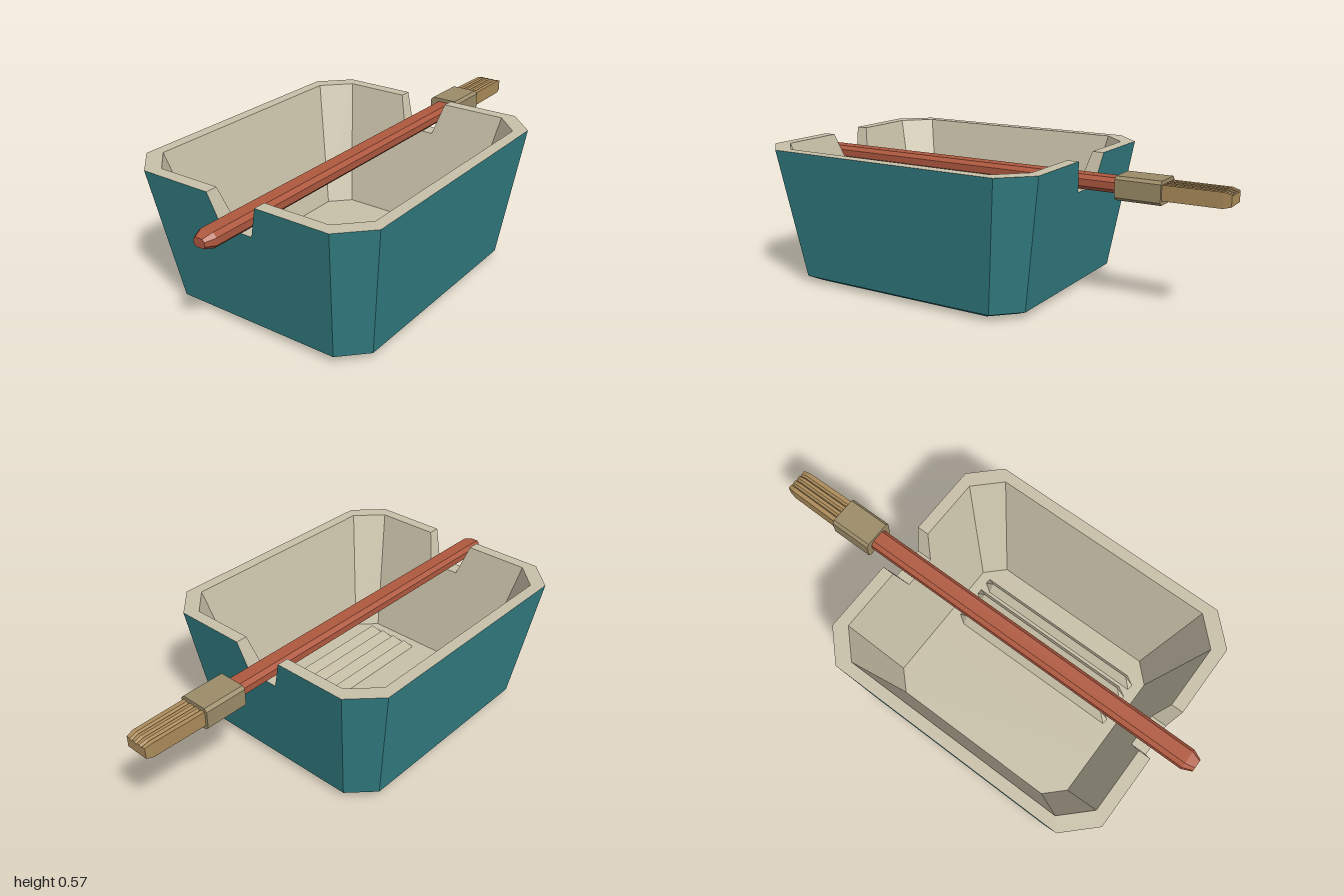
import * as THREE from 'three';

const V = (x, y, z) => new THREE.Vector3(x, y, z);
const mat = (color) => new THREE.MeshStandardMaterial({ color, flatShading: true });

// Skin a list of equal-length rings; flatten(p) gives the 2D point used to fill an end.
function loft(rings, flatten, capStart, capEnd) {
  const tris = [];
  for (let k = 0; k < rings.length - 1; k++) {
    const a = rings[k], b = rings[k + 1], n = a.length;
    for (let i = 0; i < n; i++) {
      const j = (i + 1) % n;
      tris.push(a[i], a[j], b[j], a[i], b[j], b[i]);
    }
  }
  const cap = (ring, flip) => {
    for (const [i, j, k] of THREE.ShapeUtils.triangulateShape(ring.map(flatten), [])) {
      tris.push(ring[i], ring[flip ? k : j], ring[flip ? j : k]);
    }
  };
  if (capStart) cap(rings[0], true);
  if (capEnd) cap(rings[rings.length - 1], false);
  const g = new THREE.BufferGeometry().setFromPoints(tris);
  g.computeVertexNormals();
  return g;
}
const fromAbove = (p) => new THREE.Vector2(p.x, -p.z);
const fromSide = (p) => new THREE.Vector2(-p.z, p.y);

// Chamfered rectangle ring of the tub, with extra points for the side notches.
const TUB_X = -0.21;
function tubRing(hx, hz, c, y, notchY = y, notchHx = hx) {
  const half = [
    [hx - c, y, hz], [hx, y, hz - c],
    [hx, y, 0.11], [notchHx, notchY, 0.07], [notchHx, notchY, -0.07], [hx, y, -0.11],
    [hx, y, c - hz], [hx - c, y, -hz],
  ];
  return [
    ...half.map(([x, h, z]) => V(TUB_X + x, h, z)),
    ...half.map(([x, h, z]) => V(TUB_X - x, h, -z)),
  ];
}

// Solid along x: profile in (u = -z, v = y), stations as [x, scaleU, scaleV].
function bar(profile, cy, stations) {
  const rings = stations.map(([x, su, sv]) =>
    profile.map(([u, v]) => V(x, cy + v * sv, -u * su)));
  return loft(rings, fromSide, true, true);
}
const chamferBox = (w, h, c) => [
  [w, c - h], [w, h - c], [w - c, h], [c - w, h],
  [-w, h - c], [-w, c - h], [c - w, -h], [w - c, -h],
];

export function createModel() {
  const model = new THREE.Group();
  const add = (name, geometry, material, parent = model) => {
    const mesh = new THREE.Mesh(geometry, material);
    mesh.name = name;
    parent.add(mesh);
    return mesh;
  };
  const teal = mat(0x338085), cream = mat(0xc8c0a8), red = mat(0xb0593f);
  const metal = mat(0x9c8c68), straw = mat(0xac8c5a);

  // Tub: outer shell, then rim and lining
  const tub = new THREE.Group();
  tub.name = 'tub';
  model.add(tub);
  const rim = tubRing(0.635, 0.538, 0.117, 0.57, 0.44, 0.615);
  add('tubShell', loft([
    tubRing(0.5, 0.41, 0.09, 0), tubRing(0.55, 0.46, 0.1, 0.027), rim,
  ], fromAbove, true, false), teal, tub);
  add('tubLining', loft([
    rim, tubRing(0.585, 0.49, 0.106, 0.57, 0.44, 0.549), tubRing(0.443, 0.367, 0.078, 0.06),
  ], fromAbove, false, true), cream, tub);

  // Scrubbing ridges on the floor, on the front half only
  const ridges = new THREE.Group();
  ridges.name = 'floorRidges';
  tub.add(ridges);
  for (let i = 0; i < 4; i++) {
    const ridge = add('ridge', bar(
      [[-0.025, 0], [0.028, 0], [0, 0.045]], 0.058,
      [[-0.61, 1, 0.05], [-0.57, 1, 1], [0.15, 1, 1], [0.19, 1, 0.05]],
    ), cream, ridges);
    ridge.position.z = 0.064 + i * 0.064;
  }

  // Brush resting across the notches
  const brush = new THREE.Group();
  brush.name = 'brush';
  model.add(brush);
  add('handle', bar(chamferBox(0.043, 0.03, 0.016), 0.475,
    [[-1, 0.6, 0.6], [-0.96, 1, 1], [0.57, 1, 1]]), red, brush);
  add('ferrule', bar(chamferBox(0.068, 0.047, 0.012), 0.473,
    [[0.555, 1, 1], [0.74, 1, 1]]), metal, brush);

  // Bristle block with grooves along its top
  const bristles = [[-0.057, -0.032], [0.057, -0.032], [0.057, 0.032]];
  for (const u of [0.03, 0, -0.03]) {
    bristles.push([u + 0.008, 0.032], [u, 0.02], [u - 0.008, 0.032]);
  }
  bristles.push([-0.057, 0.032]);
  add('bristles', bar(bristles, 0.475,
    [[0.73, 1, 0.95], [0.97, 0.94, 0.95], [1, 0.86, 0.7]]), straw, brush);

  return model;
}
